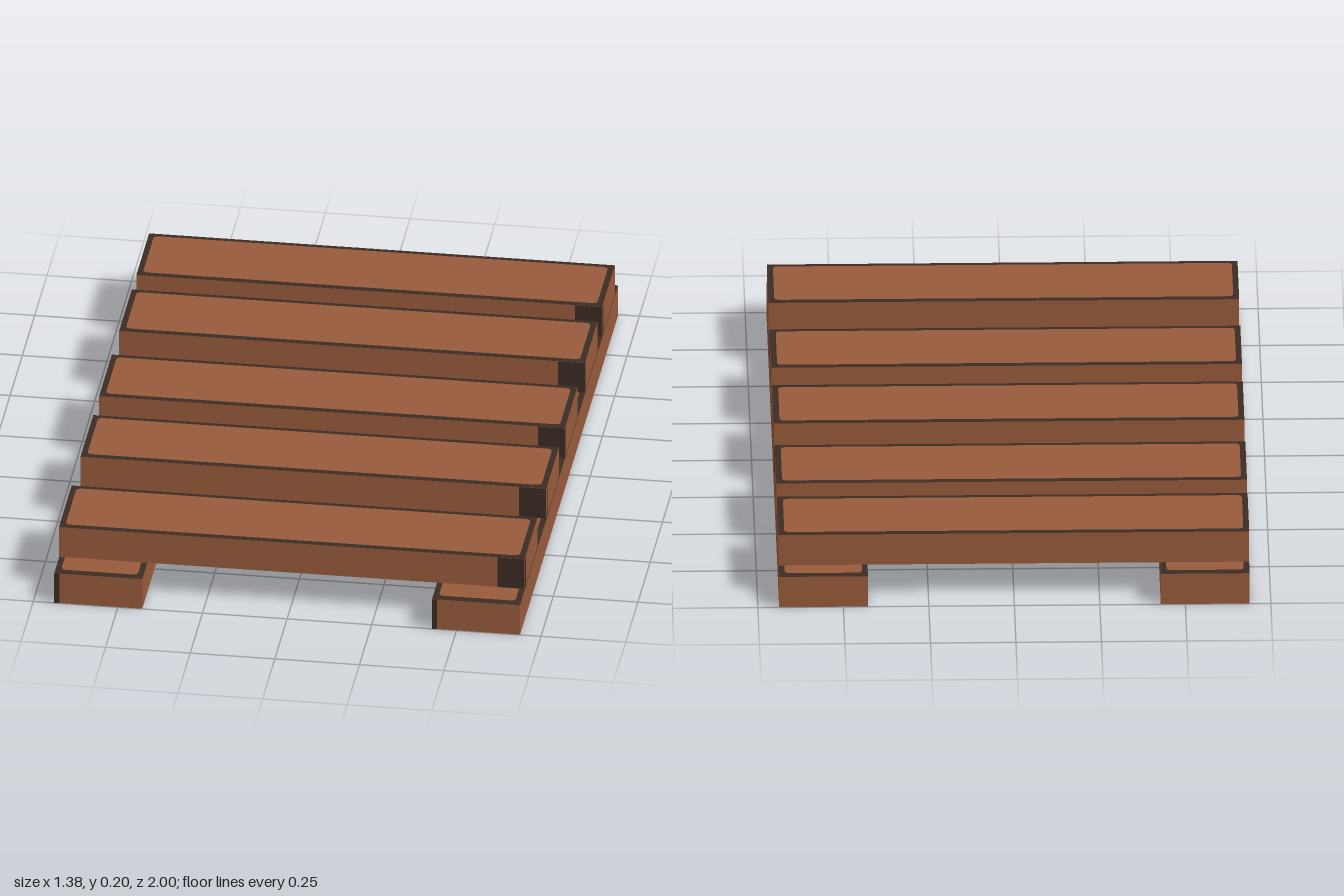
import * as THREE from 'three';

const WIDTH = 0.26;
const EPS = 0.0015;

const wood = new THREE.MeshStandardMaterial({ color: 0x985a3b });
wood.name = 'brown wood';
const edge = new THREE.MeshStandardMaterial({ color: 0x3b2c23 });
edge.name = 'dark worn edge';

// Rectangle with small rounded corners
function roundedRect(x0, x1, y0, y1, r) {
  const s = new THREE.Shape();
  s.moveTo(x0 + r, y0);
  s.lineTo(x1 - r, y0);
  s.quadraticCurveTo(x1, y0, x1, y0 + r);
  s.lineTo(x1, y1 - r);
  s.quadraticCurveTo(x1, y1, x1 - r, y1);
  s.lineTo(x0 + r, y1);
  s.quadraticCurveTo(x0, y1, x0, y1 - r);
  s.lineTo(x0, y0 + r);
  s.quadraticCurveTo(x0, y0, x0 + r, y0);
  return s;
}

// Board along x, standing on y = 0, with a dark rim on top and dark marks by one corner
function plank(name, length, height, border) {
  const group = new THREE.Group();
  group.name = name;
  const add = (part, geometry, material) => {
    const mesh = new THREE.Mesh(geometry, material);
    mesh.name = part;
    group.add(mesh);
    return mesh;
  };
  const hx = length / 2, hz = WIDTH / 2;

  // Solid board: only the top face is dark
  const body = add('board', new THREE.BoxGeometry(length, height, WIDTH),
    [wood, wood, edge, wood, wood, wood]);
  body.position.y = height / 2;

  // Brown panel inside the dark rim
  const panel = roundedRect(-hx + border, hx - border, -hz + 0.017, hz - 0.017, 0.015);
  const top = add('topPanel', new THREE.ShapeGeometry(panel, 3), wood);
  top.rotation.x = -Math.PI / 2;
  top.position.y = height + EPS;

  // Dark mark at the end of the long side
  const markLength = length * 0.058;
  const side = add('sideMark', new THREE.PlaneGeometry(markLength, height), edge);
  side.position.set(hx - markLength / 2, height / 2, hz + EPS);

  // Narrow dark mark on the end face
  const end = add('endMark', new THREE.PlaneGeometry(0.015, height), edge);
  end.rotation.y = Math.PI / 2;
  end.position.set(hx + EPS, height / 2, hz - 0.0075);
  return group;
}

export function createModel() {
  const model = new THREE.Group();
  model.name = 'woodenPallet';

  // Two rails running front to back
  for (const [name, x] of [['rightRail', -0.558], ['leftRail', 0.558]]) {
    const rail = plank(name, 1.997, 0.098, 0.022);
    rail.rotation.y = -Math.PI / 2;
    rail.position.x = x;
    model.add(rail);
  }

  // Five unevenly spaced slats across the rails
  [-0.8, -0.45, -0.043, 0.335, 0.775].forEach((z, i) => {
    const slat = plank('slat' + (i + 1), 1.376, 0.098, 0.017);
    slat.position.set(0, 0.103, z);
    model.add(slat);
  });
  return model;
}
